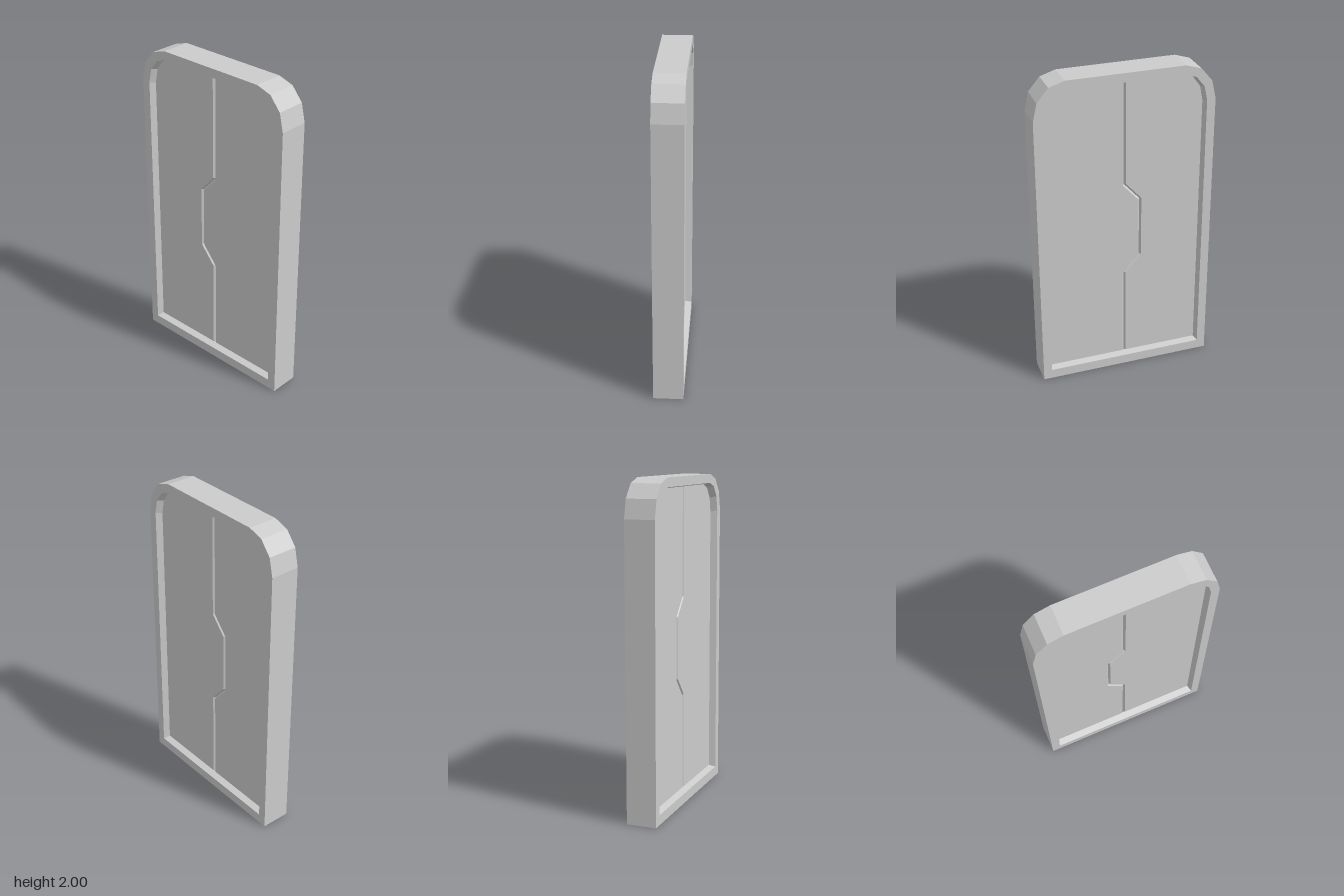
import * as THREE from 'three';

const material = new THREE.MeshStandardMaterial({ color: 0xcccccc, flatShading: true });

// Right-hand side of the arched outline, from the bottom corner up to the top
function archSide(w, bottom, top, cx, cy) {
  const pts = [[w, bottom]];
  for (let i = 0; i <= 3; i++) {
    const a = (i * Math.PI) / 6;
    pts.push([cx + (w - cx) * Math.cos(a), cy + (top - cy) * Math.sin(a)]);
  }
  return pts;
}

const mirrorX = pts => pts.map(([x, y]) => [-x, y]);

// Closed counter-clockwise arch at depth z
function archLoop(z, ...size) {
  const side = archSide(...size);
  return [...side, ...mirrorX(side).reverse()].map(([x, y]) => [x, y, z]);
}

// Skin consecutive loops with flat quads
function loft(loops) {
  const pos = [];
  for (let k = 0; k < loops.length - 1; k++) {
    const a = loops[k], b = loops[k + 1], n = a.length;
    for (let i = 0; i < n; i++) {
      const j = (i + 1) % n;
      pos.push(...a[i], ...b[i], ...b[j], ...a[i], ...b[j], ...a[j]);
    }
  }
  const g = new THREE.BufferGeometry();
  g.setAttribute('position', new THREE.Float32BufferAttribute(pos, 3));
  g.computeVertexNormals();
  return g;
}

// Door leaf: arch side closed by the seam, with chamfered edges
function leafGeometry(side, seam) {
  const bevel = 0.01, depth = 0.014, thickness = 0.1;
  const shape = new THREE.Shape([...side, ...seam].map(([x, y]) => new THREE.Vector2(x, y)));
  const g = new THREE.ExtrudeGeometry(shape, {
    depth: thickness - 2 * depth,
    bevelEnabled: true,
    bevelSegments: 1,
    bevelSize: bevel,
    bevelOffset: -bevel,
    bevelThickness: depth,
  });
  g.translate(0, 0, -thickness / 2 + depth);
  return g;
}

export function createModel() {
  const group = new THREE.Group();
  const add = (name, geometry) => {
    const mesh = new THREE.Mesh(geometry, material);
    mesh.name = name;
    group.add(mesh);
  };

  // Frame with slightly splayed reveals on both faces
  const outer = [0.55, 0, 2, 0.36, 1.775];
  const inner = [0.497, 0.061, 1.945, 0.355, 1.768];
  const deep = [0.484, 0.073, 1.936, 0.35, 1.755];
  add('frame', loft([
    archLoop(0.046, ...deep),
    archLoop(0.092, ...inner),
    archLoop(0.092, ...outer),
    archLoop(-0.092, ...outer),
    archLoop(-0.092, ...inner),
    archLoop(-0.046, ...deep),
  ]));

  // Underside and sides are part of the frame; the two leaves meet at a stepped seam
  const side = archSide(0.505, 0.05, 1.96, 0.355, 1.768);
  const seam = [
    [-0.002, 1.96], [-0.002, 1.278], [-0.101, 1.167],
    [-0.101, 0.78], [-0.002, 0.664], [-0.002, 0.05],
  ];
  add('leftLeaf', leafGeometry(side, seam));
  add('rightLeaf', leafGeometry(mirrorX(side), seam));

  return group;
}
